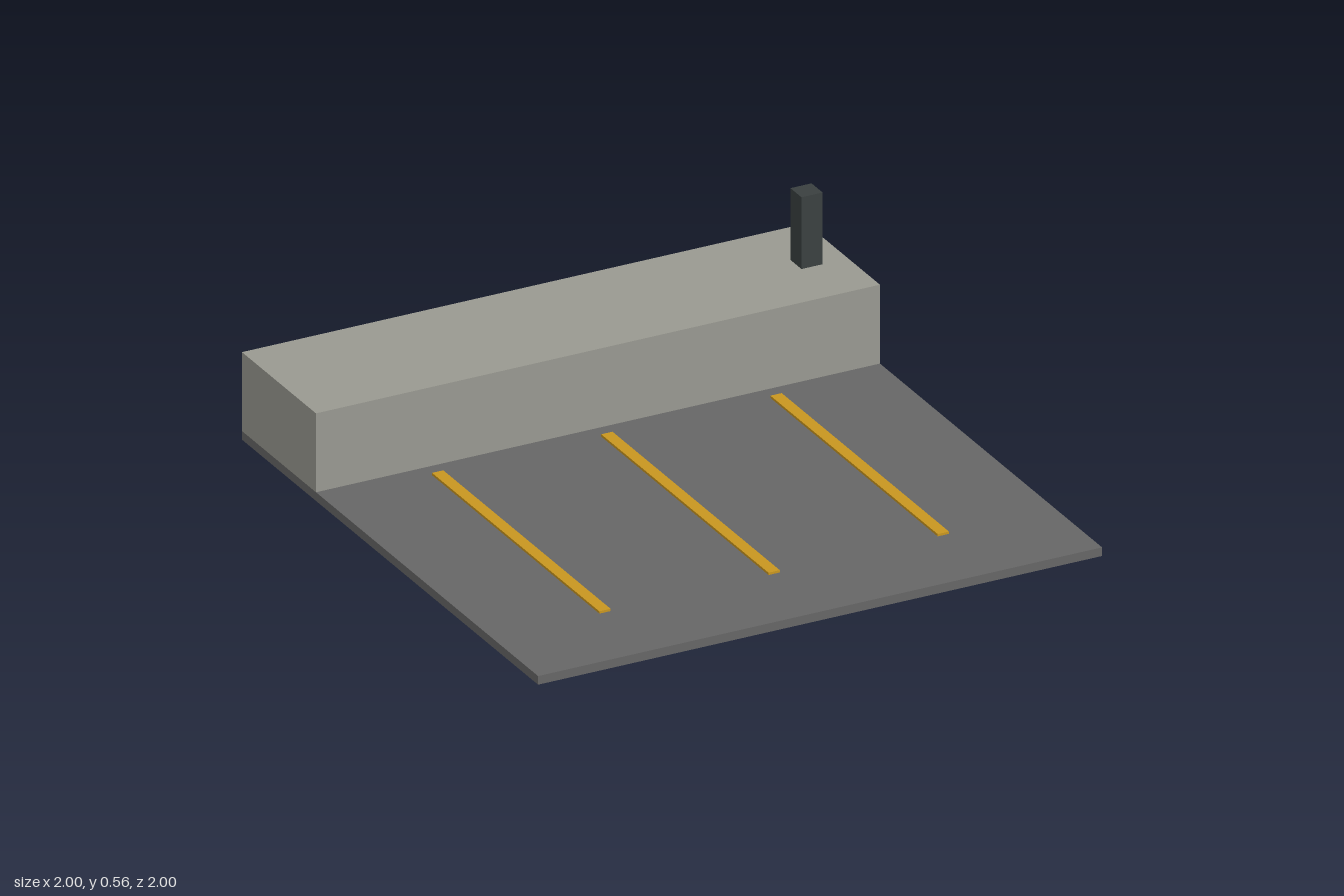
import * as THREE from 'three';

const paint = (name, color) => {
  const material = new THREE.MeshStandardMaterial({ color });
  material.name = name;
  return material;
};

export function createModel() {
  const asphalt = paint('asphalt grey', 0x666666);
  const concrete = paint('concrete grey', 0x999991);
  const yellow = paint('line yellow', 0xc89620);
  const metal = paint('dark metal', 0x3a4040);

  const group = new THREE.Group();
  group.name = 'parkingLot';

  // Box given by its size, its base height and its centre in x and z
  const addBox = (name, material, [w, h, d], [x, base, z]) => {
    const mesh = new THREE.Mesh(new THREE.BoxGeometry(w, h, d), material);
    mesh.name = name;
    mesh.position.set(x, base + h / 2, z);
    group.add(mesh);
  };

  const slabTop = 0.03;
  const blockHeight = 0.275;

  // Paved slab with the long raised block along its back edge
  addBox('pavement', asphalt, [2, slabTop, 2], [0, 0, 0]);
  addBox('backBlock', concrete, [2, blockHeight, 0.5], [0, slabTop, -0.75]);

  // Post standing on the block
  addBox('post', metal, [0.075, 0.25, 0.075], [0.872, slabTop + blockHeight, -0.752]);

  // Painted bay lines
  for (const x of [-0.6, 0, 0.6]) {
    addBox('bayLine', yellow, [0.04, 0.008, 1.13], [x, slabTop, 0.125]);
  }

  return group;
}
